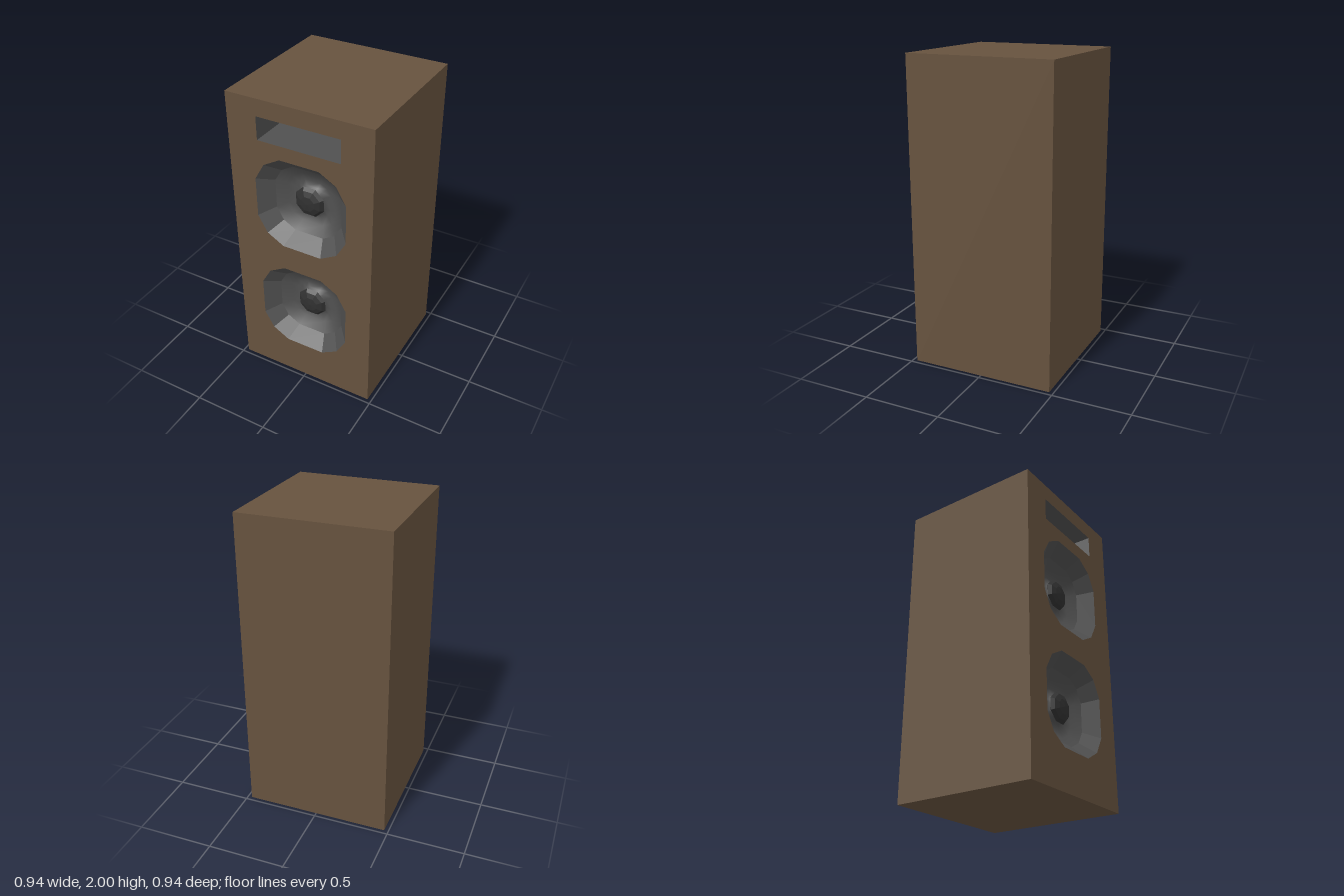
import * as THREE from 'three';

const HALF = 0.4725, HEIGHT = 2;
const SLOT = { w: 0.545, h: 0.15, y: 1.815, depth: 0.3 };
const DRIVER_Y = [0.565, 1.345];

const wood = new THREE.MeshStandardMaterial({ color: 0x66523e });
const grey = { color: 0x505050, side: THREE.DoubleSide };
const flatGrey = new THREE.MeshStandardMaterial({ ...grey, flatShading: true });
const smoothGrey = new THREE.MeshStandardMaterial(grey);
const slotGrey = new THREE.MeshStandardMaterial({ color: 0x505050, side: THREE.BackSide });
const dark = new THREE.MeshStandardMaterial({ color: 0x303030, flatShading: true });

// Twelve-sided rounded square, counter-clockwise
const OUTLINE = [];
for (let q = 0; q < 4; q++) {
  for (const [x, y] of [[0.303, 0.13], [0.24, 0.24], [0.13, 0.303]]) {
    OUTLINE.push(new THREE.Vector2(x, y).rotateAround(new THREE.Vector2(), q * Math.PI / 2));
  }
}

function add(parent, name, geometry, material) {
  const mesh = new THREE.Mesh(geometry, material);
  mesh.name = name;
  parent.add(mesh);
  return mesh;
}

// Box without its +z face
function openBox(w, h, d) {
  const g = new THREE.BoxGeometry(w, h, d);
  const index = Array.from(g.index.array);
  index.splice(24, 6);
  g.setIndex(index);
  g.clearGroups();
  return g;
}

// Skin between scaled copies of the outline; rings are [scale, z]
function loft(rings) {
  const n = OUTLINE.length, pos = [], index = [];
  for (const [s, z] of rings) for (const p of OUTLINE) pos.push(p.x * s, p.y * s, z);
  for (let r = 0; r < rings.length - 1; r++) {
    for (let i = 0; i < n; i++) {
      const a = r * n + i, b = r * n + (i + 1) % n;
      index.push(a, b, b + n, a, b + n, a + n);
    }
  }
  const g = new THREE.BufferGeometry();
  g.setAttribute('position', new THREE.Float32BufferAttribute(pos, 3));
  g.setIndex(index);
  g.computeVertexNormals();
  return g;
}

function makeDriver() {
  const driver = new THREE.Group();
  driver.name = 'driver';
  // Faceted outer rim, then a smooth bowl rising to a central neck
  add(driver, 'surround', loft([[1, 0], [0.74, -0.09]]), flatGrey);
  add(driver, 'cone', loft([[0.74, -0.09], [0.55, -0.135], [0.4, -0.15], [0.29, -0.14], [0.22, -0.105]]), smoothGrey);
  // Shallow octagonal dust cap
  const profile = [[0, -0.02], [0.08, -0.015], [0.103, 0], [0.085, 0.02], [0.05, 0.033], [0, 0.038]]
    .map(([r, y]) => new THREE.Vector2(r, y));
  const cap = add(driver, 'dustCap', new THREE.LatheGeometry(profile, 8, Math.PI / 8), dark);
  cap.rotation.x = Math.PI / 2;
  cap.position.z = -0.11;
  return driver;
}

export function createModel() {
  const model = new THREE.Group();
  model.name = 'loudspeaker';

  // Cabinet shell
  add(model, 'cabinet', openBox(2 * HALF, HEIGHT, 2 * HALF), wood).position.y = HEIGHT / 2;

  // Front panel with openings
  const rect = (w, y0, y1) => [[-w, y0], [w, y0], [w, y1], [-w, y1]].map(([x, y]) => new THREE.Vector2(x, y));
  const front = new THREE.Shape(rect(HALF, 0, HEIGHT));
  front.holes.push(new THREE.Path(rect(SLOT.w / 2, SLOT.y - SLOT.h / 2, SLOT.y + SLOT.h / 2)));
  for (const y of DRIVER_Y) {
    front.holes.push(new THREE.Path(OUTLINE.map(p => new THREE.Vector2(p.x, p.y + y))));
  }
  add(model, 'frontPanel', new THREE.ShapeGeometry(front), wood).position.z = HALF;

  // Recessed port
  add(model, 'portSlot', openBox(SLOT.w, SLOT.h, SLOT.depth), slotGrey)
    .position.set(0, SLOT.y, HALF - SLOT.depth / 2);

  // Two drivers
  for (const y of DRIVER_Y) {
    const driver = makeDriver();
    driver.position.set(0, y, HALF);
    model.add(driver);
  }
  return model;
}
